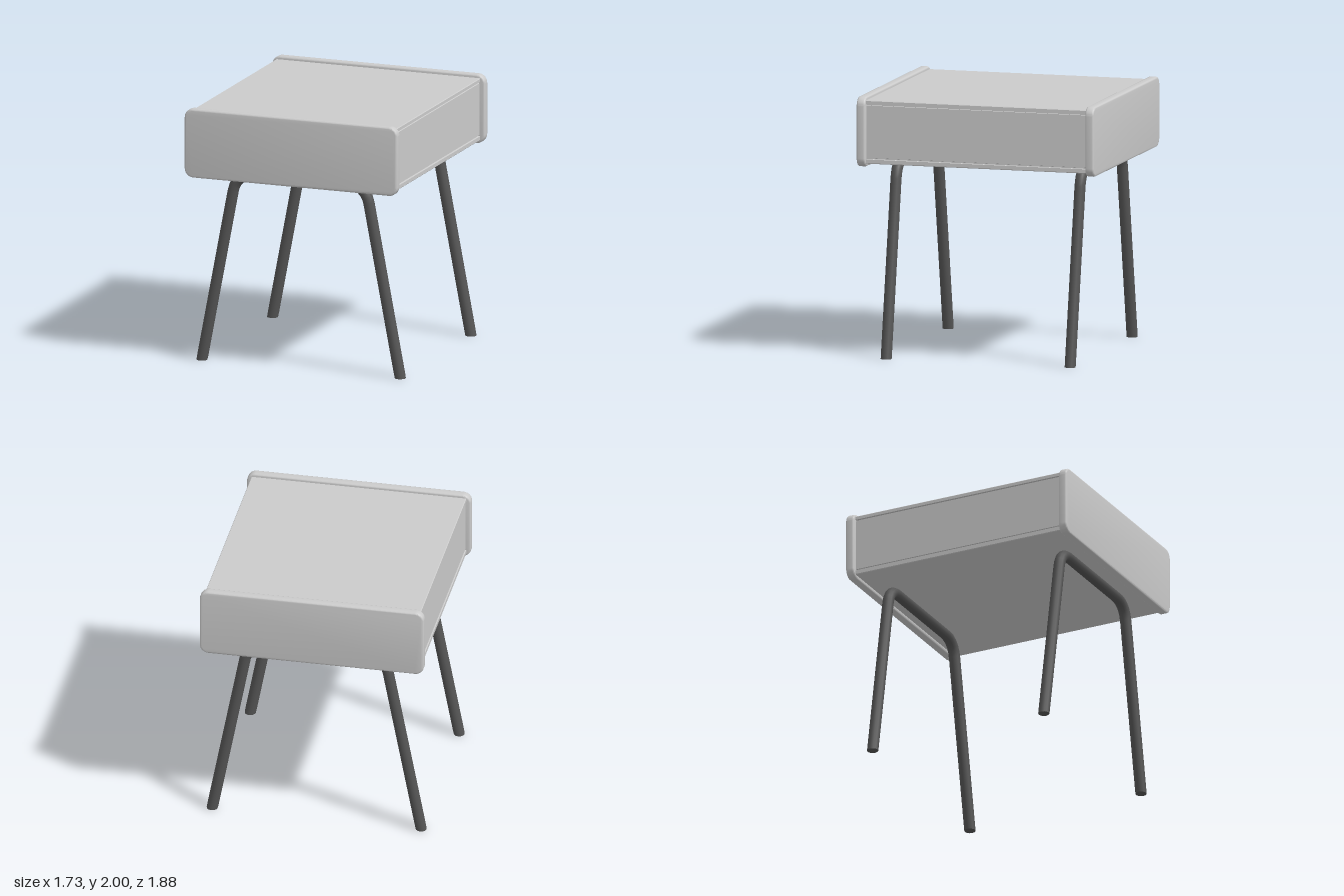
import * as THREE from 'three';
import { toCreasedNormals } from 'three/addons/utils/BufferGeometryUtils.js';

const grey = new THREE.MeshStandardMaterial({ color: 0xcccccc });
const dark = new THREE.MeshStandardMaterial({ color: 0x555555 });

function part(name, geometry, material) {
  const mesh = new THREE.Mesh(geometry, material);
  mesh.name = name;
  return mesh;
}

// Rounded rectangle centred on the origin
function roundedRect(w, h, r) {
  const s = new THREE.Shape(), x = w / 2, y = h / 2;
  s.absarc(x - r, y - r, r, 0, Math.PI / 2);
  s.absarc(-x + r, y - r, r, Math.PI / 2, Math.PI);
  s.absarc(-x + r, -y + r, r, Math.PI, Math.PI * 1.5);
  s.absarc(x - r, -y + r, r, Math.PI * 1.5, Math.PI * 2);
  s.closePath();
  return s;
}

// Upright end panel with softened edges
function endPanel(name, z) {
  const bevel = 0.014, depth = 0.068;
  const geo = new THREE.ExtrudeGeometry(
    roundedRect(1.73 - 2 * bevel, 0.535 - 2 * bevel, 0.055), {
      depth: depth - 2 * bevel, bevelThickness: bevel, bevelSize: bevel,
      bevelSegments: 3, curveSegments: 6,
    });
  geo.translate(0, 1.7325, z - depth / 2 + bevel);
  return part(name, toCreasedNormals(geo, 0.7), grey);
}

// Case: top and bottom boards, with side boards set in behind a fine groove
function caseBody() {
  const right = [
    [0.825, 1.49], [0.83, 1.495], [0.83, 1.523], [0.815, 1.525], [0.815, 1.533], [0.824, 1.535],
    [0.824, 1.935], [0.815, 1.937], [0.815, 1.945], [0.83, 1.947], [0.83, 1.97], [0.825, 1.975],
  ];
  const left = right.map(([x, y]) => [-x, y]).reverse();
  const shape = new THREE.Shape([...right, ...left].map(([x, y]) => new THREE.Vector2(x, y)));
  const geo = new THREE.ExtrudeGeometry(shape, { depth: 1.75, bevelEnabled: false });
  geo.translate(0, 0, -0.875);
  return part('caseBody', geo, grey);
}

// One bent tube makes a pair of splayed legs and the bar joining them
function legFrame(name, z) {
  const radius = 0.043, barY = 1.473, footX = 0.807;
  const v = (x, y) => new THREE.Vector3(x, y, 0);
  const path = new THREE.CurvePath();
  path.add(new THREE.LineCurve3(v(-footX, 0), v(-0.553, 1.335)));
  path.add(new THREE.QuadraticBezierCurve3(v(-0.553, 1.335), v(-0.527, barY), v(-0.39, barY)));
  path.add(new THREE.LineCurve3(v(-0.39, barY), v(0.39, barY)));
  path.add(new THREE.QuadraticBezierCurve3(v(0.39, barY), v(0.527, barY), v(0.553, 1.335)));
  path.add(new THREE.LineCurve3(v(0.553, 1.335), v(footX, 0)));
  const geo = new THREE.TubeGeometry(path, 96, radius, 12);

  // Cut the feet level with the floor
  const pos = geo.attributes.position;
  for (let i = 0; i < pos.count; i++) if (pos.getY(i) < 0.02) pos.setY(i, 0);

  const group = new THREE.Group();
  group.name = name;
  group.add(part('legTube', geo, dark));
  for (const side of [-1, 1]) {
    const foot = part('footCap', new THREE.CircleGeometry(radius, 12), dark);
    foot.rotation.x = Math.PI / 2;
    foot.position.x = side * footX;
    group.add(foot);
  }
  group.position.z = z;
  return group;
}

export function createModel() {
  const model = new THREE.Group();
  model.name = 'sideTable';
  model.add(
    caseBody(),
    endPanel('frontPanel', 0.904),
    endPanel('backPanel', -0.904),
    legFrame('frontLegs', 0.718),
    legFrame('backLegs', -0.737),
  );
  return model;
}
